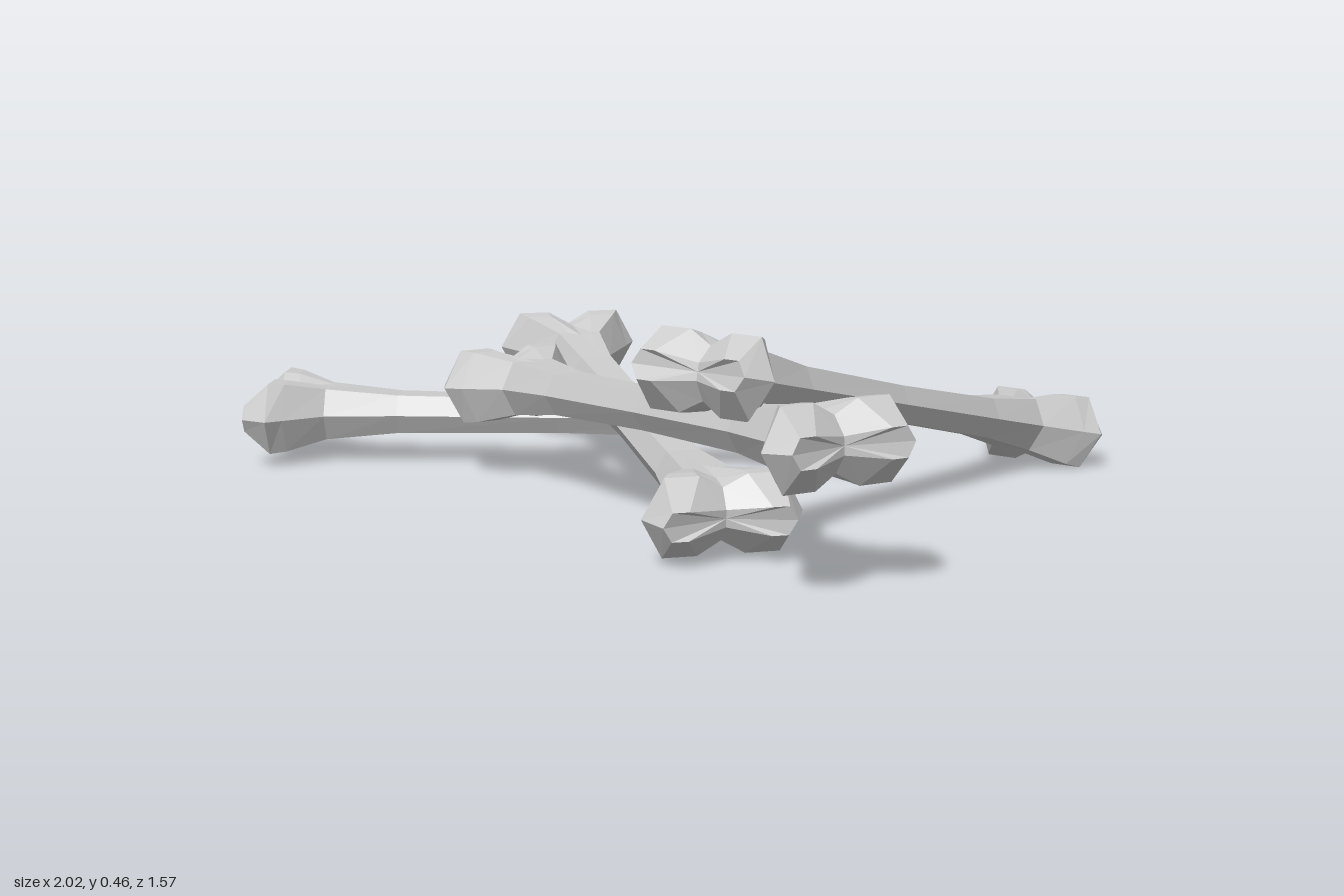
import * as THREE from 'three';

// Half-bone cross-sections: position along the bone at the rim and in the middle,
// half width, outer and inner shoulder, half thickness, thickness in the groove
const HALF = [
  { s: 0.0, mid: 0.0, w: 0.054, a: 0.032, b: 0.016, t: 0.04, v: 0.04 },
  { s: 0.38, mid: 0.38, w: 0.06, a: 0.036, b: 0.018, t: 0.045, v: 0.045 },
  { s: 0.55, mid: 0.53, w: 0.08, a: 0.05, b: 0.028, t: 0.06, v: 0.058 },
  { s: 0.635, mid: 0.62, w: 0.142, a: 0.105, b: 0.05, t: 0.08, v: 0.06 },
  { s: 0.67, mid: 0.665, w: 0.167, a: 0.122, b: 0.05, t: 0.083, v: 0.055 },
  { s: 0.73, mid: 0.695, w: 0.138, a: 0.12, b: 0.085, t: 0.03, v: 0.018 },
];

// Twelve corners around the bone, with two lobes and a groove between them
function ring({ s, mid, w, a, b, t, v }, sign) {
  const outline = [
    [w, 0], [a, t], [b, t], [0, v], [-b, t], [-a, t],
    [-w, 0], [-a, -t], [-b, -t], [0, -v], [b, -t], [a, -t],
  ];
  return outline.map(([z, y]) => [sign * (z === 0 ? mid : s), y, z]);
}

function boneGeometry() {
  const rings = [
    ...HALF.slice(1).reverse().map((h) => ring(h, -1)),
    ...HALF.map((h) => ring(h, 1)),
  ];
  const n = rings[0].length;
  const last = rings[rings.length - 1];
  const tip = HALF[HALF.length - 1].mid;
  const pos = [];
  const tri = (...corners) => corners.forEach((c) => pos.push(...c));

  for (let j = 0; j < n; j++) {
    const k = (j + 1) % n;
    for (let i = 0; i < rings.length - 1; i++) {
      const p = rings[i], q = rings[i + 1];
      tri(p[j], q[j], q[k]);
      tri(p[j], q[k], p[k]);
    }
    // Notched end caps
    tri([-tip, 0, 0], rings[0][j], rings[0][k]);
    tri([tip, 0, 0], last[k], last[j]);
  }
  const geometry = new THREE.BufferGeometry();
  geometry.setAttribute('position', new THREE.Float32BufferAttribute(pos, 3));
  geometry.computeVertexNormals();
  return geometry;
}

export function createModel() {
  const model = new THREE.Group();
  model.name = 'bonePile';
  const geometry = boneGeometry();
  const material = new THREE.MeshStandardMaterial({ color: 0xcccccc, flatShading: true });

  // Name, centre, yaw and tilt in degrees
  const bones = [
    ['groundBone', [-0.34, 0.115, 0.02], 35, 0],
    ['crossingBone', [0.02, 0.165, 0.165], -35, -6],
    ['frontBone', [0.27, 0.25, 0.4], -20, 3.5],
    ['topBone', [0.54, 0.232, -0.065], 91.2, -13],
  ];
  for (const [name, centre, yaw, tilt] of bones) {
    const bone = new THREE.Mesh(geometry, material);
    bone.name = name;
    bone.position.set(...centre);
    bone.rotation.set(0, THREE.MathUtils.degToRad(yaw), THREE.MathUtils.degToRad(tilt));
    model.add(bone);
  }
  return model;
}
